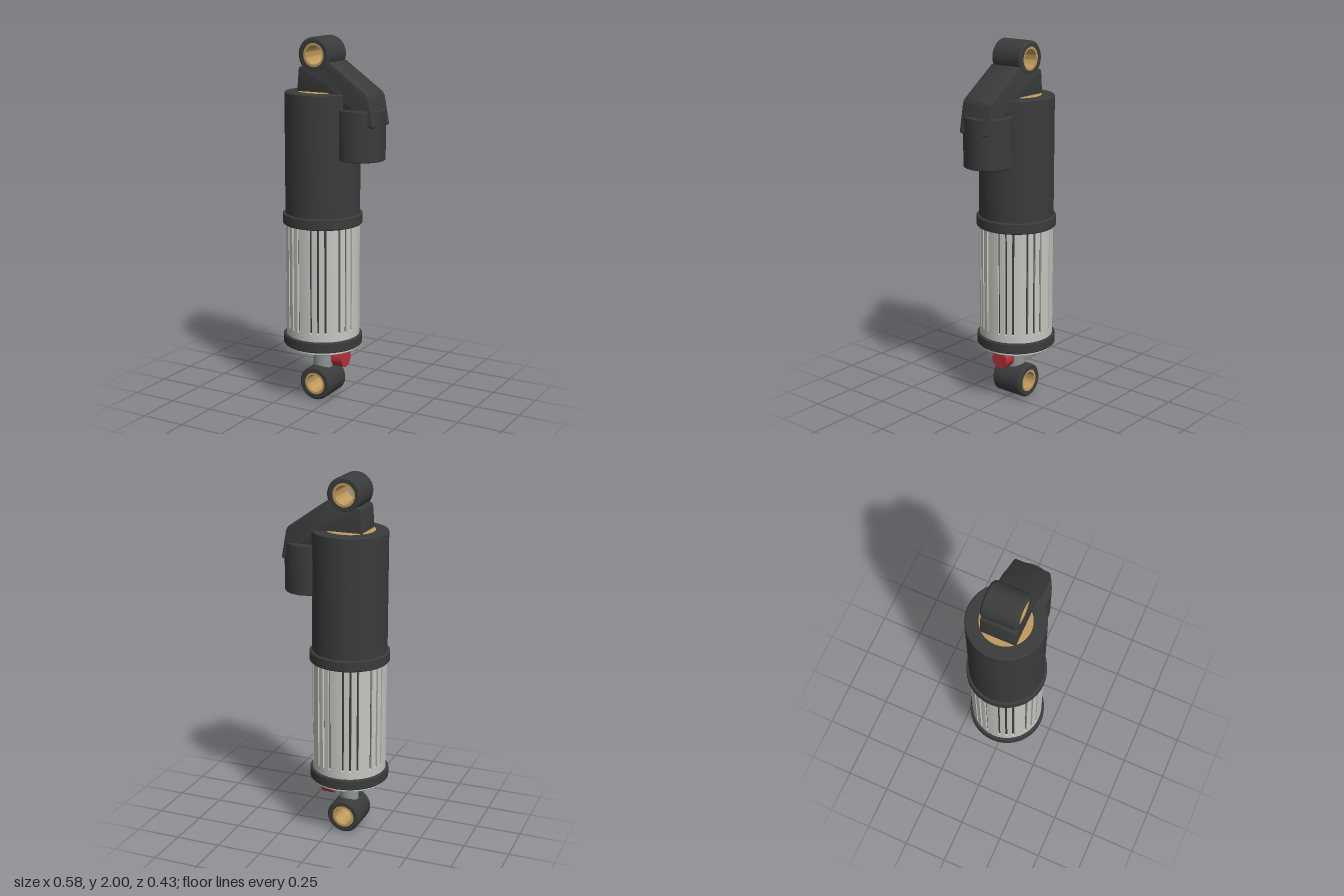
import * as THREE from 'three';
import { toCreasedNormals } from 'three/addons/utils/BufferGeometryUtils.js';

const AXIS = -0.074; // x of the damper's centre line
const EYE = { r: 0.094, half: 0.096, low: 0.094, high: 1.906 };

const mat = (color) => new THREE.MeshStandardMaterial({ color });
const dark = mat(0x3a3c3b), silver = mat(0xc4c7c0), steel = mat(0x8d9696);
const gold = mat(0xc09b5c), red = mat(0xb8323a);

export function createModel() {
  const group = new THREE.Group();

  const add = (name, geometry, material, x = AXIS, y = 0, z = 0, parent = group) => {
    const mesh = new THREE.Mesh(toCreasedNormals(geometry, 0.5), material);
    mesh.name = name;
    mesh.position.set(x, y, z);
    parent.add(mesh);
    return mesh;
  };

  // Solid round part with a small chamfer, from height y0 to y1
  const turned = (r, y0, y1, c = 0.005, sides = 40) => new THREE.LatheGeometry(
    [[0, y0], [r - c, y0], [r, y0 + c], [r, y1 - c], [r - c, y1], [0, y1]]
      .map(([x, y]) => new THREE.Vector2(x, y)), sides);

  // Hollow sleeve centred on its own axis
  const sleeve = (inner, outer, half, c) => new THREE.LatheGeometry(
    [[inner, -half], [outer - c, -half], [outer, -half + c], [outer, half - c],
      [outer - c, half], [inner, half], [inner, -half]]
      .map(([x, y]) => new THREE.Vector2(x, y)), 40);

  // Main body
  add('airCan', turned(0.203, 1.0, 1.71), dark);
  add('topCap', turned(0.134, 1.69, 1.714, 0.002), gold);
  add('upperCollar', turned(0.217, 0.995, 1.055), dark);
  add('lowerCollar', turned(0.217, 0.315, 0.373), dark);
  add('sleeveBase', turned(0.202, 0.298, 0.42, 0.004), silver);
  add('grooveCore', turned(0.191, 0.41, 1.01), dark);

  // Ribbed sleeve: eight groups of three vertical grooves
  const outline = new THREE.Shape();
  const R = 0.202, depth = 0.186, halfGroove = 0.03;
  const grooves = [];
  for (let k = 0; k < 8; k++)
    for (const d of [-11.5, 0, 11.5]) grooves.push(THREE.MathUtils.degToRad(22.5 + 45 * k + d));
  const polar = (r, a) => [r * Math.cos(a), r * Math.sin(a)];
  grooves.forEach((a, i) => {
    const next = i + 1 < grooves.length ? grooves[i + 1] : grooves[0] + Math.PI * 2;
    const from = a + halfGroove, to = next - halfGroove;
    if (i === 0) outline.moveTo(...polar(R, a - halfGroove));
    outline.lineTo(...polar(depth, a - halfGroove));
    outline.lineTo(...polar(depth, from));
    for (let s = 0; s <= 3; s++) outline.lineTo(...polar(R, from + (to - from) * s / 3));
  });
  const ribs = new THREE.ExtrudeGeometry(outline, { depth: 0.59, bevelEnabled: false });
  ribs.rotateX(-Math.PI / 2);
  add('ribbedSleeve', ribs, silver, AXIS, 0.415);

  // Mounting eyes with bushings
  for (const [name, y] of [['lowerEye', EYE.low], ['upperEye', EYE.high]]) {
    const eye = new THREE.Group();
    eye.name = name;
    eye.position.set(AXIS, y, 0);
    eye.rotation.x = Math.PI / 2;
    add('eyeHousing', sleeve(0.063, EYE.r, EYE.half, 0.01), dark, 0, 0, 0, eye);
    add('eyeBushing', sleeve(0.05, 0.065, EYE.half - 0.004, 0.002), gold, 0, 0, 0, eye);
    group.add(eye);
  }

  // Head bracket bridging the can, the upper eye and the reservoir
  const head = new THREE.Shape();
  head.moveTo(-0.177, 1.70);
  head.lineTo(-0.167, 1.825);
  head.quadraticCurveTo(-0.165, 1.843, -0.148, 1.846);
  head.absarc(AXIS, EYE.high, 0.08, Math.PI * 1.25, Math.PI * 1.83, false);
  head.lineTo(0.02, 1.872);
  head.lineTo(0.235, 1.722);
  head.quadraticCurveTo(0.249, 1.71, 0.253, 1.69);
  head.lineTo(0.279, 1.55);
  head.quadraticCurveTo(0.268, 1.535, 0.245, 1.55);
  head.lineTo(0.08, 1.58);
  head.lineTo(0.06, 1.70);
  const bevel = 0.008;
  const headGeo = new THREE.ExtrudeGeometry(head, {
    depth: 2 * (EYE.half - bevel), bevelThickness: bevel, bevelSize: bevel,
    bevelOffset: -bevel, bevelSegments: 2, curveSegments: 10,
  });
  add('headBracket', headGeo, dark, 0, 0, -(EYE.half - bevel));

  // Side reservoir
  add('reservoir', turned(0.133, 1.362, 1.632, 0.004), dark, 0.157);

  // Shaft and rebound knob below the sleeve
  add('shaft', turned(0.053, 0.16, 0.31, 0.001, 24), steel);
  const knob = turned(0.053, -0.035, 0.035, 0.003, 24);
  knob.rotateZ(Math.PI / 2);
  add('reboundKnob', knob, red, 0.04, 0.243);

  return group;
}
